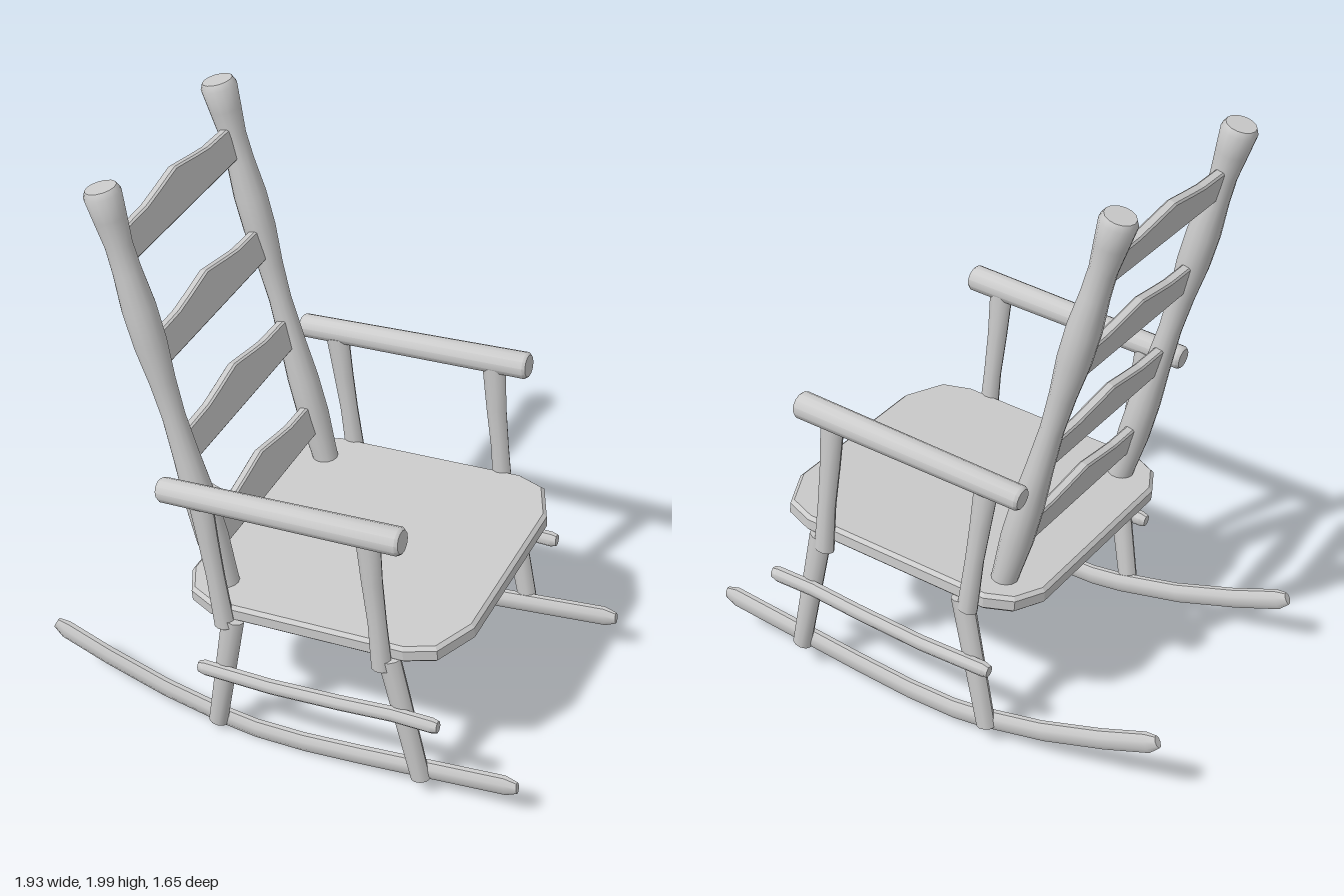
import * as THREE from 'three';
import { toCreasedNormals } from 'three/addons/utils/BufferGeometryUtils.js';

const material = new THREE.MeshStandardMaterial({ color: 0xcccccc });

// Closed bar through stations [x, y, z, half width, half depth], with elliptical sections
function barGeometry(stations, sides = 10) {
  const pts = stations.map((s) => new THREE.Vector3(s[0], s[1], s[2]));
  const xAxis = new THREE.Vector3(1, 0, 0);
  const pos = [];
  const index = [];
  stations.forEach((s, j) => {
    const tangent = pts[Math.min(j + 1, pts.length - 1)].clone().sub(pts[Math.max(j - 1, 0)]).normalize();
    const normal = tangent.cross(xAxis).normalize();
    for (let i = 0; i < sides; i++) {
      const a = ((i + 0.5) / sides) * Math.PI * 2;
      const p = pts[j].clone()
        .addScaledVector(xAxis, Math.cos(a) * s[3])
        .addScaledVector(normal, Math.sin(a) * s[4]);
      pos.push(p.x, p.y, p.z);
    }
  });
  const last = (pts.length - 1) * sides;
  const startCentre = pts.length * sides;
  pos.push(...pts[0].toArray(), ...pts[pts.length - 1].toArray());
  for (let i = 0; i < sides; i++) {
    const k = (i + 1) % sides;
    for (let j = 0; j < pts.length - 1; j++) {
      const a = j * sides;
      const b = a + sides;
      index.push(a + i, a + k, b + k, a + i, b + k, b + i);
    }
    index.push(startCentre, k, i, startCentre + 1, last + i, last + k);
  }
  const geometry = new THREE.BufferGeometry();
  geometry.setAttribute('position', new THREE.Float32BufferAttribute(pos, 3));
  geometry.setIndex(index);
  return toCreasedNormals(geometry, 0.72);
}

function add(parent, name, geometry) {
  const mesh = new THREE.Mesh(geometry, material);
  mesh.name = name;
  parent.add(mesh);
  return mesh;
}

// Backrest lean: depth of the back posts at a given height
const LEAN = 0.257;
const backZ = (y) => -0.2 - LEAN * (y - 0.5);

// Parts on one side of the chair; side is +1 or -1
function buildSide(side) {
  const group = new THREE.Group();
  group.name = side > 0 ? 'leftSide' : 'rightSide';
  const bar = (name, stations, sides) =>
    add(group, name, barGeometry(stations.map(([x, ...rest]) => [x * side, ...rest]), sides));

  // Curved rocker as [y, z], tapered at both ends
  const rocker = [
    [0.255, -0.845], [0.238, -0.81], [0.18, -0.65], [0.115, -0.43], [0.071, -0.2],
    [0.06, -0.09], [0.066, 0.085], [0.09, 0.3], [0.156, 0.8], [0.16, 0.84],
  ];
  bar('rocker', rocker.map(([y, z], i) => {
    const k = i === 0 || i === rocker.length - 1 ? 0.6 : 1;
    return [0.455, y, z, 0.022 * k, 0.037 * k];
  }), 8);

  // Legs from rocker to seat
  bar('frontLeg', [[0.472, 0.09, 0.513, 0.027, 0.034], [0.49, 0.58, 0.41, 0.031, 0.04]]);
  bar('backLeg', [[0.472, 0.06, -0.226, 0.027, 0.034], [0.49, 0.55, -0.14, 0.031, 0.04]]);

  // Side stretcher, bowed upwards at the front
  bar('stretcher', [
    [0.515, 0.32, -0.26, 0.018, 0.022], [0.515, 0.322, -0.24, 0.023, 0.028],
    [0.515, 0.327, 0, 0.023, 0.028], [0.515, 0.35, 0.25, 0.023, 0.028],
    [0.515, 0.372, 0.43, 0.023, 0.028], [0.515, 0.376, 0.57, 0.023, 0.028],
    [0.515, 0.377, 0.59, 0.018, 0.022],
  ], 8);

  // Arm supports, thicker at the ends
  bar('frontArmSupport', [
    [0.5, 0.54, 0.39, 0.027, 0.036], [0.5, 0.72, 0.375, 0.026, 0.032],
    [0.5, 0.88, 0.358, 0.028, 0.036], [0.5, 1.05, 0.345, 0.032, 0.042],
  ]);
  bar('backArmSupport', [
    [0.5, 0.52, -0.165, 0.027, 0.036], [0.5, 0.72, -0.19, 0.026, 0.032],
    [0.5, 0.86, -0.21, 0.028, 0.036], [0.5, 1.01, -0.23, 0.032, 0.042],
  ]);

  // Armrest
  bar('armrest', [
    [0.51, 1.014, -0.365, 0.034, 0.034], [0.51, 1.015, -0.355, 0.041, 0.041],
    [0.51, 1.073, 0.455, 0.046, 0.046], [0.51, 1.074, 0.465, 0.038, 0.038],
  ], 12);

  // Turned back post as [height, radius]
  const turning = [
    [0.5, 0.04], [0.62, 0.045], [0.76, 0.054], [0.9, 0.053], [1.05, 0.044], [1.2, 0.038],
    [1.33, 0.043], [1.46, 0.054], [1.58, 0.055], [1.7, 0.046], [1.79, 0.044],
    [1.88, 0.053], [1.955, 0.06], [1.975, 0.05],
  ];
  bar('backPost', turning.map(([y, r]) => [0.372, y, backZ(y), r, r]), 14);
  return group;
}

export function createModel() {
  const model = new THREE.Group();
  model.name = 'rockingChair';
  const chair = new THREE.Group();
  chair.name = 'chair';
  // The chair stands turned, with a slight sideways lean
  chair.rotation.set(0, 1.05, 0.035);
  model.add(chair);

  for (const side of [1, -1]) chair.add(buildSide(side));

  // Seat board with clipped corners, as half outline [x, z]
  const half = [[0.31, 0.625], [0.455, 0.56], [0.495, 0.46], [0.495, -0.22], [0.45, -0.31], [0.35, -0.36]];
  const outline = [...half, ...half.map(([x, z]) => [-x, z]).reverse()];
  const seatGeometry = new THREE.ExtrudeGeometry(
    new THREE.Shape(outline.map(([x, z]) => new THREE.Vector2(x, -z))),
    { depth: 0.036, bevelEnabled: true, bevelThickness: 0.012, bevelSize: 0.012, bevelOffset: -0.012, bevelSegments: 1 },
  );
  seatGeometry.translate(0, 0, -0.018);
  seatGeometry.rotateX(-Math.PI / 2);
  const seat = add(chair, 'seat', seatGeometry);
  seat.position.y = 0.577;
  seat.rotation.x = -0.066;

  // Back slats with a wavy crest
  const crest = [[0.365, 0.112], [0.2, 0.116], [0.12, 0.128], [0.05, 0.14], [0, 0.148],
    [-0.05, 0.14], [-0.12, 0.128], [-0.2, 0.116], [-0.365, 0.112]];
  const slatShape = new THREE.Shape(
    [[-0.365, 0], [0.365, 0], ...crest].map(([x, y]) => new THREE.Vector2(x, y)),
  );
  const slatGeometry = new THREE.ExtrudeGeometry(slatShape, {
    depth: 0.022, bevelEnabled: true, bevelThickness: 0.006, bevelSize: 0.006, bevelOffset: -0.006, bevelSegments: 1,
  });
  slatGeometry.translate(0, 0, -0.011);
  for (const y of [0.7, 1.025, 1.36, 1.715]) {
    const slat = add(chair, 'backSlat', slatGeometry);
    slat.position.set(0, y, backZ(y));
    slat.rotation.x = -Math.atan(LEAN);
  }
  return model;
}
